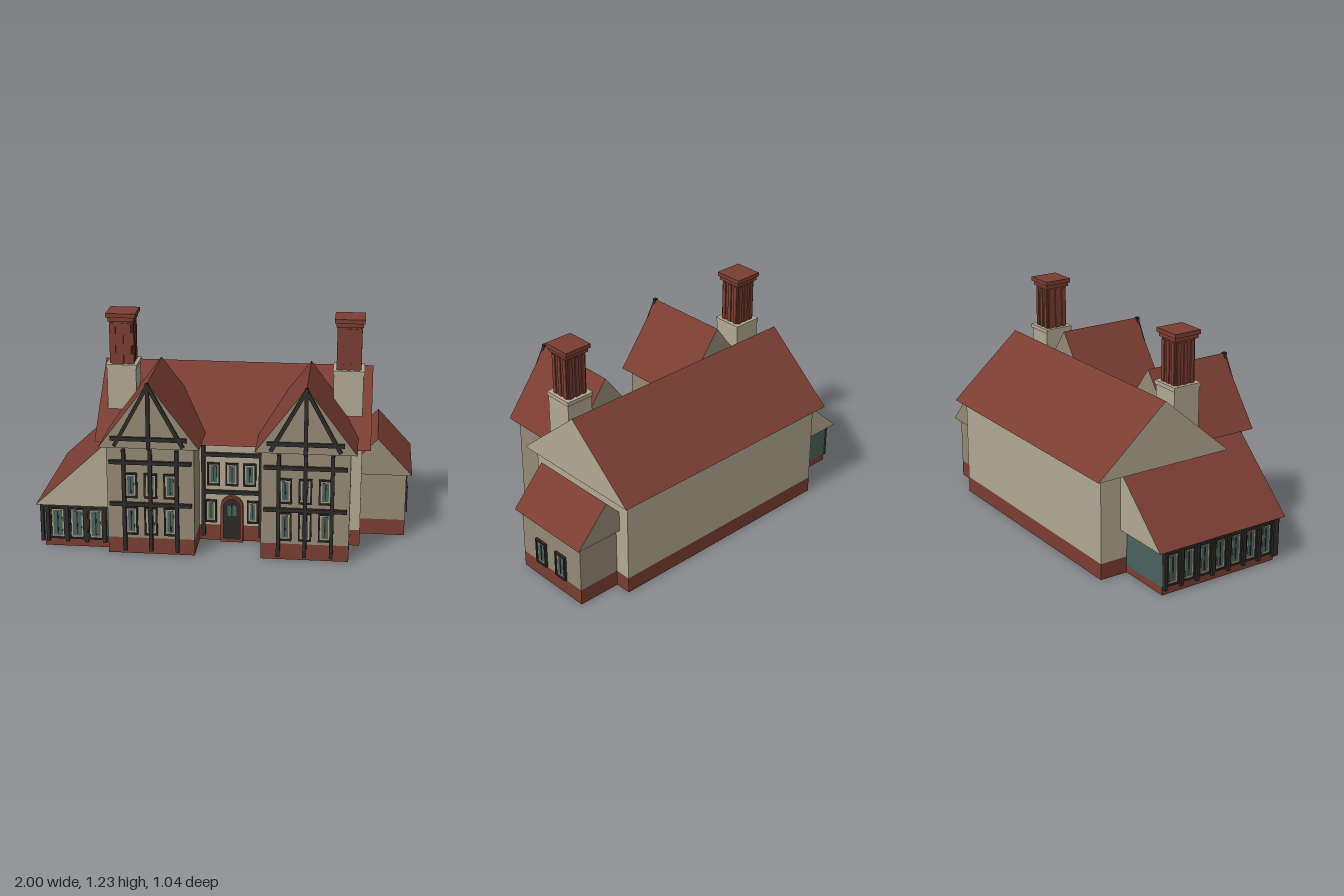
import * as THREE from 'three';

const mat = (color) => new THREE.MeshStandardMaterial({ color, flatShading: true });
const wall = mat(0xb3a993), plaster = mat(0x958a76), brick = mat(0x7a3d32);
const timber = mat(0x2f2c2a), glass = mat(0x4a625f), trim = mat(0xa89a7c);

// Box given by its min and max on each axis
function box(parent, name, material, x0, x1, y0, y1, z0, z1) {
  const mesh = new THREE.Mesh(new THREE.BoxGeometry(x1 - x0, y1 - y0, z1 - z0), material);
  mesh.position.set((x0 + x1) / 2, (y0 + y1) / 2, (z0 + z1) / 2);
  mesh.name = name;
  parent.add(mesh);
  return mesh;
}

// Solid triangular roof: tiled slopes, plastered gable ends
function roof(parent, name, points, from, to, axis, gable) {
  const shape = new THREE.Shape(points.map(([u, v]) => new THREE.Vector2(u, v)));
  const geo = new THREE.ExtrudeGeometry(shape, { depth: to - from, bevelEnabled: false });
  if (axis === 'x') geo.rotateY(-Math.PI / 2).translate(to, 0, 0);
  else geo.translate(0, 0, from);
  const mesh = new THREE.Mesh(geo, [gable, brick]);
  mesh.name = name;
  parent.add(mesh);
}

// Brick plinth with a wall above it
function walls(parent, name, material, x0, x1, z0, z1, top, plinth = 0.09) {
  box(parent, name + 'Plinth', brick, x0, x1, 0, plinth, z0, z1);
  box(parent, name + 'Walls', material, x0, x1, plinth, top, z0, z1);
}

// Framed window facing +z, centred on its origin
function windowUnit(parent, x, y, z, w, h, turn = 0) {
  const g = new THREE.Group();
  g.name = 'window';
  const a = w / 2, b = h / 2, t = 0.009;
  box(g, 'surround', trim, -a + t, a - t, -b + t, b - t, -0.004, 0.004);
  box(g, 'pane', glass, -a + 2 * t, a - 2 * t, -b + 2 * t, b - 2 * t, -0.004, 0.006);
  for (const s of [-1, 1]) {
    const cx = s * (a - t / 2), cy = s * (b - t / 2);
    box(g, 'jamb', timber, cx - t / 2, cx + t / 2, -b, b, -0.004, 0.012);
    box(g, 'rail', timber, -a, a, cy - t / 2, cy + t / 2, -0.004, 0.012);
  }
  box(g, 'mullion', timber, -0.003, 0.003, -b + 3 * t, b - 3 * t, 0, 0.009);
  g.position.set(x, y, z);
  g.rotation.y = turn;
  parent.add(g);
}

// Arch outline for the doorway
function archPath(path, w, y0, spring) {
  path.moveTo(-w, y0);
  path.lineTo(w, y0);
  path.lineTo(w, spring);
  path.absarc(0, spring, w, 0, Math.PI, false);
  path.lineTo(-w, y0);
  return path;
}

function frontBay(cx) {
  const g = new THREE.Group();
  g.name = 'frontBay';
  walls(g, 'bay', plaster, -0.232, 0.232, 0.1, 0.465, 0.612);
  roof(g, 'bayRoof', [[-0.265, 0.612], [0.265, 0.612], [0, 0.965]], 0.01, 0.51, 'z', plaster);
  for (const y of [0.39, 0.19])
    for (const x of [-0.105, 0, 0.105]) windowUnit(g, x, y, 0.465, 0.07, y > 0.3 ? 0.14 : 0.16);
  // Wall framing
  for (const x of [-0.14, 0, 0.14]) box(g, 'post', timber, x - 0.01, x + 0.01, 0.02, 0.592, 0.46, 0.485);
  for (const y of [0.285, 0.52]) box(g, 'beam', timber, -0.218, 0.218, y - 0.01, y + 0.01, 0.46, 0.483);
  // Gable framing
  box(g, 'gableBeam', timber, -0.2, 0.2, 0.655, 0.676, 0.505, 0.523);
  box(g, 'gablePost', timber, -0.01, 0.01, 0.612, 0.968, 0.505, 0.525);
  for (const s of [-1, 1]) {
    const dx = 0.18, dy = 0.33;
    const brace = new THREE.Mesh(new THREE.BoxGeometry(0.02, Math.hypot(dx, dy), 0.017), timber);
    brace.position.set(s * dx / 2, 0.955 - dy / 2, 0.5135);
    brace.rotation.z = s * Math.atan2(dx, dy);
    brace.name = 'gableBrace';
    g.add(brace);
  }
  g.position.x = cx;
  return g;
}

function chimney(cx) {
  const g = new THREE.Group();
  g.name = 'chimney';
  const block = (name, m, r, y0, y1) => box(g, name, m, -r, r, y0, y1, -r, r);
  block('chimneyBase', wall, 0.079, 0.5, 0.93);
  block('baseCap', wall, 0.084, 0.928, 0.95);
  block('stack', brick, 0.06, 0.945, 1.19);
  block('lowerCap', brick, 0.071, 1.185, 1.207);
  block('upperCap', brick, 0.08, 1.207, 1.23);
  // Raised brick ribs on each face
  for (let i = 0; i < 4; i++) {
    const side = new THREE.Group();
    side.name = 'stackRibs';
    for (const x of [-0.042, 0, 0.042]) box(side, 'rib', brick, x - 0.011, x + 0.011, 0.945, 1.175, 0.055, 0.066);
    side.rotation.y = i * Math.PI / 2;
    g.add(side);
  }
  g.position.set(cx, 0, 0.053);
  return g;
}

function gardenRoom() {
  const g = new THREE.Group();
  g.name = 'gardenRoom';
  walls(g, 'gardenRoom', glass, -0.965, -0.55, -0.315, 0.405, 0.25, 0.04);
  roof(g, 'leanToRoof', [[-1, 0.25], [-0.55, 0.25], [-0.55, 0.668]], -0.355, 0.447, 'z', wall);
  // Front glazing
  box(g, 'topRail', timber, -0.98, -0.6, 0.228, 0.248, 0.4, 0.42);
  for (const x of [-0.975, -0.945, -0.84, -0.735, -0.635])
    box(g, 'post', timber, x - 0.009, x + 0.009, 0.03, 0.245, 0.4, 0.422);
  for (const x of [-0.892, -0.787, -0.685]) windowUnit(g, x, 0.135, 0.405, 0.084, 0.18);
  // Side glazing
  box(g, 'sideRail', timber, -0.98, -0.96, 0.228, 0.248, -0.315, 0.42);
  const n = 7, step = 0.7 / n;
  for (let i = 0; i <= n; i++) {
    const z = -0.305 + i * step;
    box(g, 'post', timber, -0.985, -0.96, 0.03, 0.245, z - 0.009, z + 0.009);
    if (i < n) windowUnit(g, -0.965, 0.135, z + step / 2, 0.078, 0.18, -Math.PI / 2);
  }
  return g;
}

function entrance() {
  const g = new THREE.Group();
  g.name = 'entrance';
  const surround = archPath(new THREE.Shape(), 0.061, 0, 0.205);
  surround.holes.push(archPath(new THREE.Path(), 0.046, 0.018, 0.205));
  const parts = [['doorSurround', surround, brick, 0.022],
    ['door', archPath(new THREE.Shape(), 0.047, 0.015, 0.205), timber, 0.01]];
  for (const [name, shape, m, depth] of parts) {
    const mesh = new THREE.Mesh(new THREE.ExtrudeGeometry(shape, { depth, bevelEnabled: false, curveSegments: 12 }), m);
    mesh.name = name;
    g.add(mesh);
  }
  box(g, 'doorPane', glass, -0.025, 0.025, 0.15, 0.21, 0.005, 0.012);
  box(g, 'doorBar', timber, -0.004, 0.004, 0.15, 0.21, 0.005, 0.015);
  g.position.set(0.035, 0, 0.248);
  return g;
}

export function createModel() {
  const house = new THREE.Group();
  house.name = 'house';

  // Main block
  walls(house, 'main', wall, -0.655, 0.727, -0.475, 0.247, 0.562);
  roof(house, 'mainRoof', [[-0.52, 0.562], [0.29, 0.562], [-0.115, 0.912]], -0.703, 0.772, 'x', wall);

  // Middle of the front
  for (const x of [-0.12, 0.19]) box(house, 'post', timber, x - 0.01, x + 0.01, 0.03, 0.56, 0.24, 0.268);
  for (const y of [0.285, 0.5]) box(house, 'beam', timber, -0.13, 0.2, y - 0.01, y + 0.01, 0.24, 0.266);
  for (const x of [-0.065, 0.034, 0.13]) windowUnit(house, x, 0.387, 0.247, 0.07, 0.13);
  for (const x of [-0.08, 0.147]) windowUnit(house, x, 0.172, 0.247, 0.062, 0.13);
  house.add(entrance());

  // Twin gabled bays and chimneys
  for (const x of [-0.375, 0.44]) house.add(frontBay(x));
  for (const x of [-0.575, 0.643]) house.add(chimney(x));

  // Side wing
  const wing = new THREE.Group();
  wing.name = 'sideWing';
  walls(wing, 'wing', plaster, 0.65, 0.97, -0.385, 0.08, 0.36);
  roof(wing, 'wingRoof', [[0.62, 0.36], [1, 0.36], [0.81, 0.566]], -0.412, 0.105, 'z', plaster);
  for (const z of [-0.075, -0.232]) windowUnit(wing, 0.972, 0.165, z, 0.08, 0.148, Math.PI / 2);
  house.add(wing, gardenRoom());
  return house;
}
